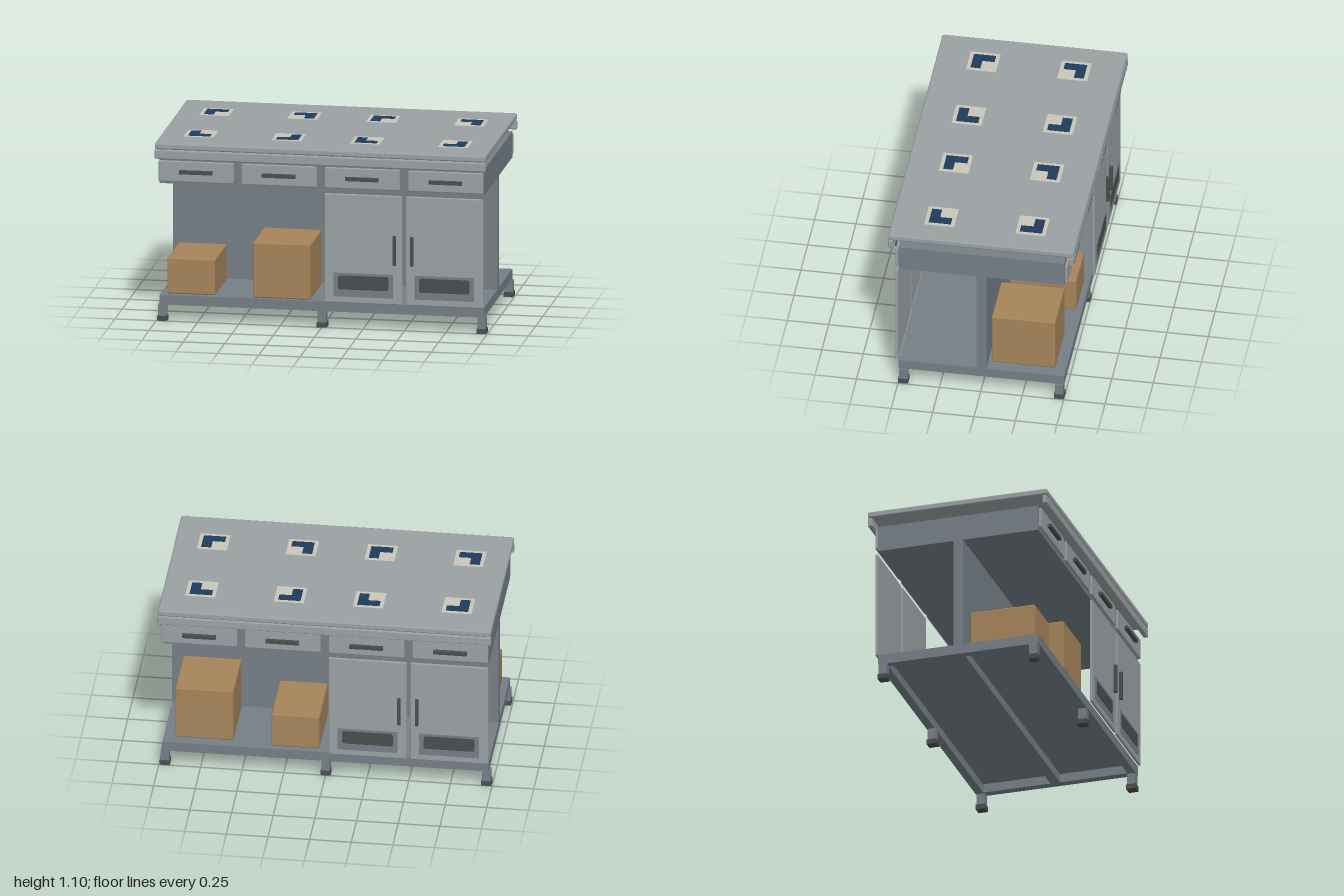
import * as THREE from 'three';
import { RoundedBoxGeometry } from 'three/addons/geometries/RoundedBoxGeometry.js';

const paint = (name, color) => {
  const m = new THREE.MeshStandardMaterial({ color });
  m.name = name;
  return m;
};

export function createModel() {
  const model = new THREE.Group();
  model.name = 'workbench';
  const panelGrey = paint('panel grey', 0x9aa0a3);
  const frameGrey = paint('frame grey', 0x757e86);
  const dark = paint('dark rubber', 0x4a4e4e);
  const cardboard = paint('cardboard', 0xa6845a);
  const navy = paint('navy', 0x1f3b5b);
  const beige = paint('beige', 0xc9c6b8);

  const add = (parent, name, geo, mat, x = 0, y = 0, z = 0) => {
    const mesh = new THREE.Mesh(geo, mat);
    mesh.name = name;
    mesh.position.set(x, y, z);
    parent.add(mesh);
    return mesh;
  };
  // box given by its limits on each axis, with an optional edge bevel
  const box = (parent, name, mat, [x0, x1], [y0, y1], [z0, z1], bevel = 0) => {
    const size = [x1 - x0, y1 - y0, z1 - z0];
    const geo = bevel ? new RoundedBoxGeometry(...size, 1, bevel) : new THREE.BoxGeometry(...size);
    return add(parent, name, geo, mat, (x0 + x1) / 2, (y0 + y1) / 2, (z0 + z1) / 2);
  };

  // base frame of square tube with two thin shelf sheets
  for (const s of [-1, 1]) {
    box(model, 'baseLongRail', frameGrey, [-0.98, 0.98], [0.1, 0.16], [s * 0.475 - 0.025, s * 0.475 + 0.025]);
    box(model, 'baseEndRail', frameGrey, [s * 0.955 - 0.025, s * 0.955 + 0.025], [0.1, 0.16], [-0.45, 0.45]);
    box(model, 'shelfSheet', frameGrey, [-0.93, 0.93], [0.154, 0.16], [s * 0.24 - 0.21, s * 0.24 + 0.21]);
  }
  box(model, 'baseCentreRail', frameGrey, [-0.93, 0.93], [0.1, 0.16], [-0.03, 0.03]);

  // legs and feet
  for (const x of [-0.965, 0, 0.965]) {
    for (const z of [-0.47, 0.47]) {
      add(model, 'leg', new THREE.BoxGeometry(0.05, 0.07, 0.05), frameGrey, x, 0.065, z);
      add(model, 'foot', new THREE.BoxGeometry(0.06, 0.03, 0.06), dark, x, 0.015, z);
    }
  }

  // centre wall and drawer housing
  box(model, 'centreWall', frameGrey, [-0.98, 0.98], [0.16, 0.845], [-0.03, 0.03]);
  box(model, 'drawerHousing', frameGrey, [-0.98, 0.98], [0.845, 1.003], [-0.5, 0.5]);

  // worktop
  box(model, 'worktop', panelGrey, [-1, 1], [1.064, 1.102], [-0.56, 0.56], 0.01);

  // rounded slot for the door vents
  const slot = new THREE.Shape();
  const w = 0.152, h = 0.043, r = 0.015;
  slot.moveTo(-w + r, -h);
  slot.lineTo(w - r, -h).quadraticCurveTo(w, -h, w, -h + r);
  slot.lineTo(w, h - r).quadraticCurveTo(w, h, w - r, h);
  slot.lineTo(-w + r, h).quadraticCurveTo(-w, h, -w, h - r);
  slot.lineTo(-w, -h + r).quadraticCurveTo(-w, -h, -w + r, -h);
  const slotGeo = new THREE.ExtrudeGeometry(slot, { depth: 0.002, bevelEnabled: false, curveSegments: 4 });

  // fittings of one long side, repeated on the other by a half turn
  for (const turn of [0, Math.PI]) {
    const side = new THREE.Group();
    side.name = turn ? 'backFittings' : 'frontFittings';
    side.rotation.y = turn;
    model.add(side);

    // edge rail with bolt heads
    box(side, 'edgeRail', panelGrey, [-1, 1], [1.006, 1.061], [0.53, 0.56], 0.007);
    for (const x of [-0.935, -0.07, 0.07, 0.935]) {
      const bolt = add(side, 'bolt', new THREE.CylinderGeometry(0.022, 0.022, 0.004, 16), panelGrey, x, 1.034, 0.56);
      bolt.rotation.x = Math.PI / 2;
    }

    // drawers
    for (const x of [-0.755, -0.255, 0.248, 0.752]) {
      box(side, 'drawerFront', panelGrey, [x - 0.228, x + 0.228], [0.86, 0.988], [0.502, 0.52], 0.007);
      box(side, 'drawerHandle', dark, [x - 0.1, x + 0.1], [0.913, 0.935], [0.515, 0.541]);
    }

    // doors with pull handles and vents
    for (const s of [-1, 1]) {
      const x = 0.5 + s * 0.245;
      box(side, 'door', panelGrey, [x - 0.235, x + 0.235], [0.16, 0.828], [0.503, 0.52], 0.007);
      const hx = 0.498 + s * 0.053;
      box(side, 'doorHandle', dark, [hx - 0.009, hx + 0.009], [0.405, 0.583], [0.515, 0.541]);
      box(side, 'ventPlate', frameGrey, [x - 0.18, x + 0.18], [0.2, 0.345], [0.518, 0.522]);
      add(side, 'ventSlot', slotGeo, dark, x, 0.287, 0.522);
    }
  }

  // cardboard boxes, the same pair on each open shelf
  for (const [dx, dz] of [[0, 0], [0.98, -0.53]]) {
    box(model, 'smallBox', cardboard, [-0.94 + dx, -0.65 + dx], [0.16, 0.38], [0.063 + dz, 0.465 + dz], 0.009);
    box(model, 'largeBox', cardboard, [-0.42 + dx, -0.07 + dx], [0.16, 0.5], [0.095 + dz, 0.48 + dz], 0.009);
  }

  // corner marks on the worktop, each on a pale square
  const mark = new THREE.Shape();
  [[-0.067, -0.067], [0.067, -0.067], [0.067, 0.067], [0.007, 0.067], [0.007, -0.007], [-0.067, -0.007]]
    .forEach(([x, y], i) => (i ? mark.lineTo(x, y) : mark.moveTo(x, y)));
  const markGeo = new THREE.ExtrudeGeometry(mark, { depth: 0.001, bevelEnabled: false });
  markGeo.rotateX(-Math.PI / 2);
  for (const cx of [-0.503, 0.503]) {
    for (const [sx, sz, angle] of [[1, 1, 0], [1, -1, 1], [-1, -1, 2], [-1, 1, 3]]) {
      const x = cx + sx * 0.266, z = sz * 0.275;
      add(model, 'markBacking', new THREE.BoxGeometry(0.18, 0.001, 0.18), beige, x, 1.1022, z);
      add(model, 'cornerMark', markGeo, navy, x, 1.1029, z).rotation.y = angle * Math.PI / 2;
    }
  }
  return model;
}
